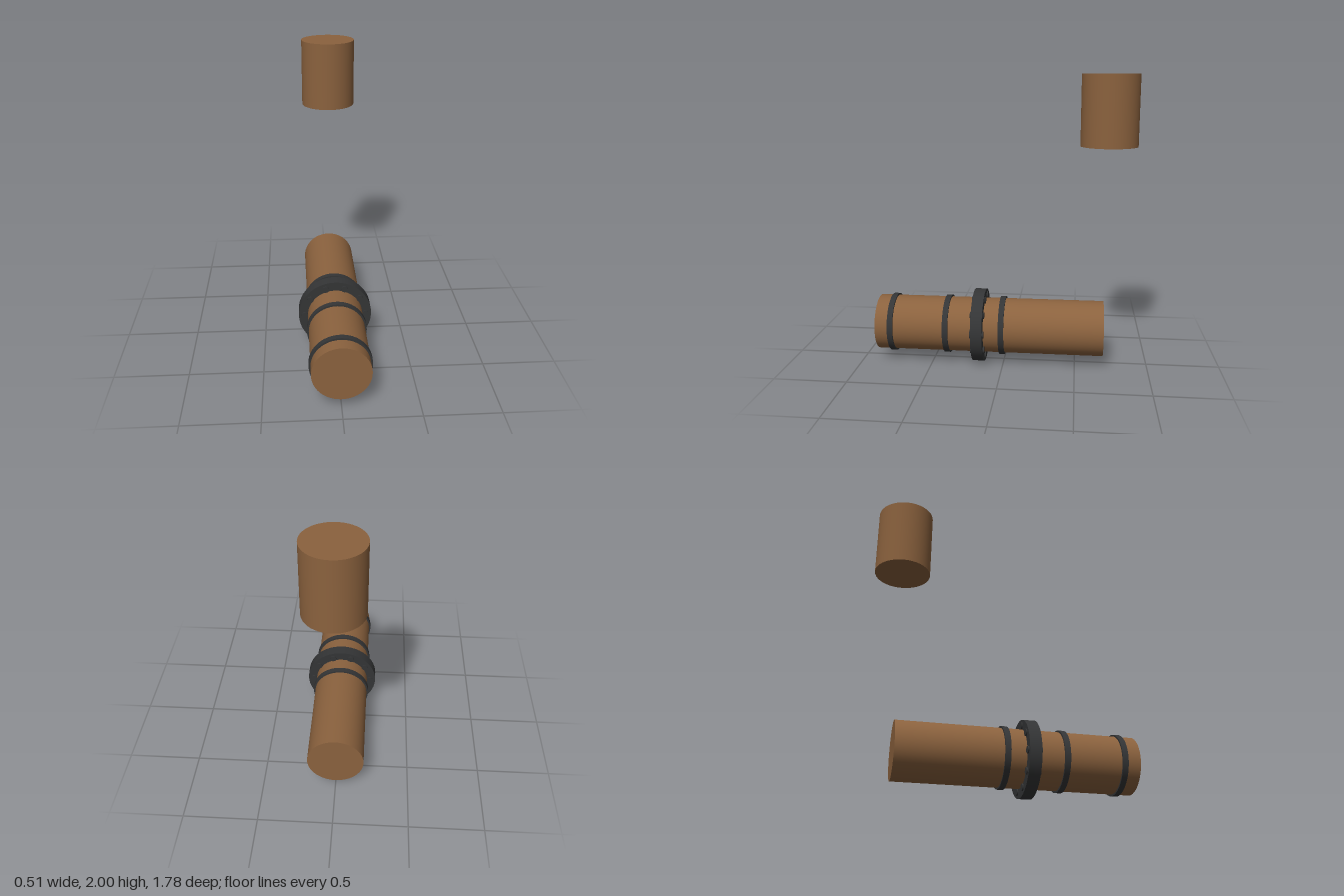
import * as THREE from 'three';

export function createModel() {
  const model = new THREE.Group();
  const rust = new THREE.MeshStandardMaterial({ color: 0x8b623e });
  rust.name = 'rusty brown';
  const iron = new THREE.MeshStandardMaterial({ color: 0x343536 });
  iron.name = 'dark iron';

  const axisY = 0.254;
  const pipeRadius = 0.191;

  // Cylinder lying along z, from its centre position
  function lying(name, radius, length, x, y, z, material, sides = 48) {
    const geometry = new THREE.CylinderGeometry(radius, radius, length, sides);
    geometry.rotateX(Math.PI / 2);
    const mesh = new THREE.Mesh(geometry, material);
    mesh.name = name;
    mesh.position.set(x, y, z);
    return mesh;
  }

  // Horizontal pipe
  model.add(lying('horizontalPipe', pipeRadius, 1.583, 0, axisY, 0.098, rust));

  // Separate upright pipe section above the rear end
  const upright = new THREE.Mesh(
    new THREE.CylinderGeometry(pipeRadius, pipeRadius, 0.472, 48), rust);
  upright.name = 'uprightPipe';
  upright.position.set(0, 1.764, -0.7);
  model.add(upright);

  // Narrow clamping bands
  for (const z of [0.781, 0.394, 0.007]) {
    model.add(lying('band', 0.203, 0.038, 0, axisY, z, iron));
  }

  // Bolted flange, with bolts passing through both faces
  const flange = new THREE.Group();
  flange.name = 'flange';
  flange.position.set(0, axisY, 0.17);
  flange.add(lying('flangeRing', 0.254, 0.079, 0, 0, 0, iron));
  for (let i = 0; i < 10; i++) {
    const a = (i / 10) * Math.PI * 2;
    flange.add(lying('bolt', 0.0235, 0.096,
      Math.cos(a) * 0.212, Math.sin(a) * 0.212, 0, iron, 12));
  }
  model.add(flange);

  return model;
}
